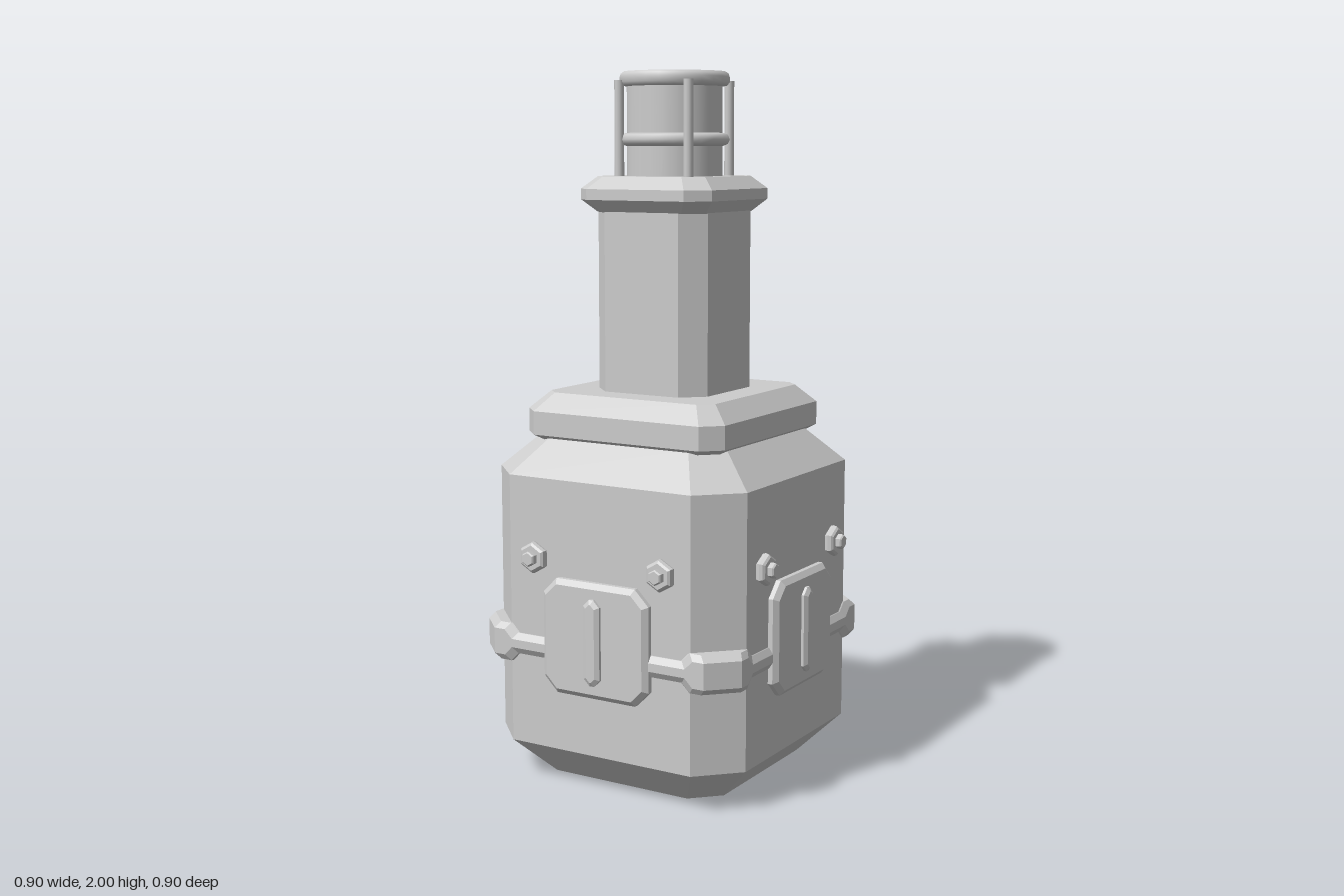
import * as THREE from 'three';

const grey = new THREE.MeshStandardMaterial({ color: 0xcccccc });
grey.name = 'plain grey';

function mesh(name, geometry, parent) {
  const m = new THREE.Mesh(geometry, grey);
  m.name = name;
  parent.add(m);
  return m;
}

// Flat-shaded skin over a stack of rings (arrays of [x, y, z], bottom to top)
function loft(rings, capped) {
  const pos = [];
  const n = rings[0].length;
  const tri = (a, b, c) => pos.push(...a, ...b, ...c);
  for (let r = 0; r < rings.length - 1; r++) {
    for (let i = 0; i < n; i++) {
      const j = (i + 1) % n, lo = rings[r], hi = rings[r + 1];
      tri(lo[i], hi[i], lo[j]);
      tri(lo[j], hi[i], hi[j]);
    }
  }
  if (capped) {
    const lo = rings[0], hi = rings[rings.length - 1];
    for (let i = 1; i < n - 1; i++) {
      tri(lo[0], lo[i], lo[i + 1]);
      tri(hi[0], hi[i + 1], hi[i]);
    }
  }
  const g = new THREE.BufferGeometry();
  g.setAttribute('position', new THREE.Float32BufferAttribute(pos, 3));
  g.computeVertexNormals();
  return g;
}

// Repeats the points of the +x side round all four sides
function fourSides(side) {
  const ring = [];
  for (let k = 0; k < 4; k++) {
    for (const [x, y, z] of side) {
      ring.push([[x, y, z], [-z, y, x], [-x, y, -z], [z, y, -x]][k]);
    }
  }
  return ring;
}

// Square block with cut corners; each level is [y, half width, corner position]
function block(levels) {
  return loft(levels.map(([y, h, c]) => fourSides([[h, y, -c], [h, y, c]])), true);
}

// Belt that is thin along the sides and taller round the corners
function beltGeometry() {
  const level = (sign, h, c, inset) => {
    const tall = 0.402 + sign * (0.055 - inset), thin = 0.402 + sign * (0.03 - inset);
    return fourSides([
      [h, tall, -c], [h, tall, 0.035 - c], [h, thin, 0.06 - c],
      [h, thin, c - 0.06], [h, tall, c - 0.035], [h, tall, c],
    ]);
  };
  return loft([
    level(-1, 0.37, 0.28, 0), level(-1, 0.408, 0.33, 0), level(-1, 0.42, 0.345, 0.018),
    level(1, 0.42, 0.345, 0.018), level(1, 0.408, 0.33, 0), level(1, 0.37, 0.28, 0),
  ], false);
}

// Bevelled upright plate with cut corners, its front face at z = front
function plate(w, h, cut, front, thickness, bevel, bevelDepth) {
  const a = w - bevel, b = h - bevel;
  const shape = new THREE.Shape([
    [a, cut - b], [a, b - cut], [a - cut, b], [cut - a, b],
    [-a, b - cut], [-a, cut - b], [cut - a, -b], [a - cut, -b],
  ].map(([x, y]) => new THREE.Vector2(x, y)));
  const g = new THREE.ExtrudeGeometry(shape, {
    depth: thickness, bevelEnabled: true, bevelSegments: 1, bevelSize: bevel, bevelThickness: bevelDepth,
  });
  return g.translate(0, 0, front - thickness - bevelDepth);
}

// Six-sided bolt with a rounded washer and a small raised nut
function boltGeometry() {
  const profile = [
    [0.036, 0.398], [0.043, 0.406], [0.046, 0.415], [0.043, 0.425], [0.036, 0.43],
    [0.022, 0.43], [0.022, 0.444], [0.018, 0.448], [0, 0.448],
  ].map(([r, y]) => new THREE.Vector2(r, y));
  const g = new THREE.LatheGeometry(profile, 6).rotateX(Math.PI / 2).toNonIndexed();
  g.computeVertexNormals();
  return g;
}

export function createModel() {
  const model = new THREE.Group();
  model.name = 'lanternTower';

  // Stacked cut-corner masses
  mesh('body', block([[0, 0.295, 0.22], [0.112, 0.405, 0.295], [0.885, 0.405, 0.295], [0.985, 0.3, 0.225]]), model);
  mesh('collar', block([[0.972, 0.295, 0.25], [0.988, 0.322, 0.27], [1.055, 0.322, 0.27], [1.105, 0.27, 0.232]]), model);
  mesh('column', block([[1.09, 0.18, 0.12], [1.63, 0.18, 0.12]]), model);
  mesh('columnCap', block([[1.61, 0.178, 0.128], [1.645, 0.214, 0.158], [1.675, 0.214, 0.158], [1.71, 0.175, 0.128]]), model);
  mesh('belt', beltGeometry(), model);

  // Hatch, handle and two bolts on every side
  const hatch = plate(0.172, 0.164, 0.035, 0.432, 0.025, 0.015, 0.013);
  const handle = plate(0.026, 0.122, 0.012, 0.448, 0.012, 0.012, 0.008);
  const bolt = boltGeometry();
  for (let k = 0; k < 4; k++) {
    const side = new THREE.Group();
    side.name = 'sideFittings';
    side.rotation.y = k * Math.PI / 2;
    model.add(side);
    mesh('hatch', hatch, side).position.y = 0.448;
    mesh('hatchHandle', handle, side).position.y = 0.448;
    for (const x of [-0.207, 0.207]) mesh('bolt', bolt, side).position.set(x, 0.66, 0);
  }

  // Lamp with its cage
  const lamp = new THREE.Group();
  lamp.name = 'lamp';
  model.add(lamp);
  mesh('lampGlass', new THREE.CylinderGeometry(0.135, 0.135, 0.27, 24), lamp).position.y = 1.84;
  mesh('lampLidRim', new THREE.LatheGeometry([
    [0.13, 1.958], [0.148, 1.961], [0.155, 1.97], [0.155, 1.985], [0.152, 1.994], [0.144, 2],
  ].map(([r, y]) => new THREE.Vector2(r, y)), 24), lamp);
  const lid = mesh('lampLid', new THREE.CircleGeometry(0.144, 24).rotateX(-Math.PI / 2), lamp);
  lid.position.y = 2;
  const ring = mesh('cageRing', new THREE.TorusGeometry(0.138, 0.018, 8, 24), lamp);
  ring.rotation.x = Math.PI / 2;
  ring.position.y = 1.812;
  const bar = new THREE.CylinderGeometry(0.014, 0.014, 0.27, 10);
  for (const x of [-1, 1]) {
    for (const z of [-1, 1]) mesh('cageBar', bar, lamp).position.set(x * 0.113, 1.84, z * 0.113);
  }
  return model;
}
